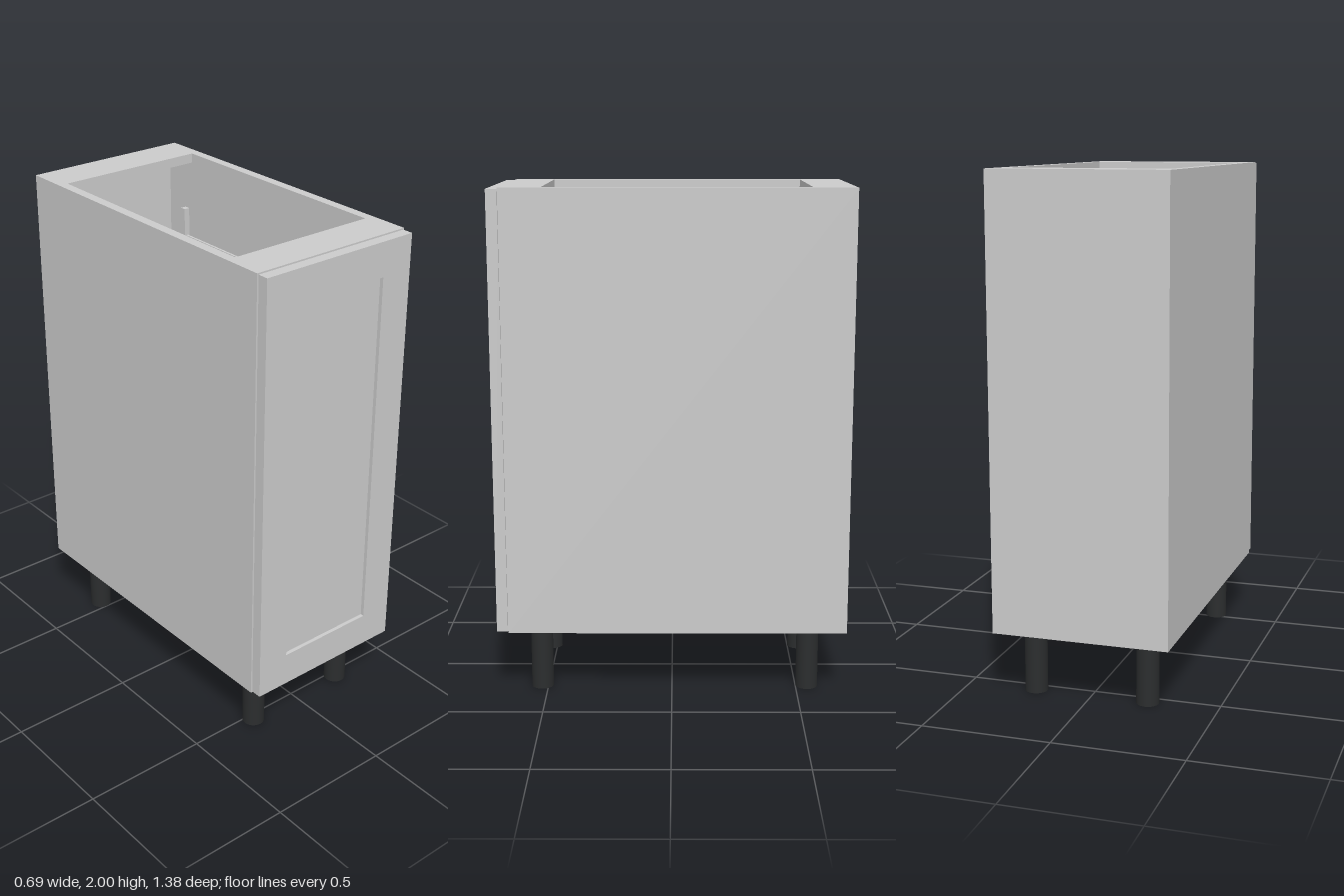
import * as THREE from 'three';

export function createModel() {
  const model = new THREE.Group();
  model.name = 'pullOutCabinet';
  const grey = new THREE.MeshStandardMaterial({ color: 0xcccccc });
  const black = new THREE.MeshStandardMaterial({ color: 0x2b2d2e });
  const tinted = new THREE.MeshStandardMaterial({ color: 0xb4bcc0 });

  // Box given by its minimum and maximum on each axis
  function box(parent, name, [x0, x1], [y0, y1], [z0, z1], material = grey) {
    const mesh = new THREE.Mesh(new THREE.BoxGeometry(x1 - x0, y1 - y0, z1 - z0), material);
    mesh.position.set((x0 + x1) / 2, (y0 + y1) / 2, (z0 + z1) / 2);
    mesh.name = name;
    parent.add(mesh);
  }

  // Carcass
  const base = 0.265, inner = 0.307;
  const carcass = new THREE.Group();
  carcass.name = 'carcass';
  model.add(carcass);
  box(carcass, 'rightSide', [-0.345, -inner], [base, 2], [-0.69, 0.645]);
  box(carcass, 'leftSide', [inner, 0.345], [base, 2], [-0.69, 0.645]);
  box(carcass, 'bottomPanel', [-inner, inner], [base, 0.303], [-0.69, 0.645]);
  box(carcass, 'backPanel', [-inner, inner], [0.303, 1.962], [-0.69, -0.672]);
  box(carcass, 'backStretcher', [-inner, inner], [1.962, 2], [-0.69, -0.525]);
  box(carcass, 'frontStretcher', [-inner, inner], [1.962, 2], [0.487, 0.645]);

  // Door frame with a recessed centre panel
  const door = new THREE.Group();
  door.name = 'door';
  model.add(door);
  const outline = new THREE.Shape([[-0.34, 0.27], [0.34, 0.27], [0.34, 1.995], [-0.34, 1.995]]
    .map(p => new THREE.Vector2(...p)));
  outline.holes.push(new THREE.Path([[-0.207, 0.405], [-0.207, 1.86], [0.207, 1.86], [0.207, 0.405]]
    .map(p => new THREE.Vector2(...p))));
  const frame = new THREE.Mesh(new THREE.ExtrudeGeometry(outline, { depth: 0.043, bevelEnabled: false }), grey);
  frame.position.z = 0.647;
  frame.name = 'doorFrame';
  door.add(frame);
  box(door, 'doorPanel', [-0.207, 0.207], [0.405, 1.86], [0.647, 0.675]);

  // Legs
  for (const x of [-0.225, 0.225]) for (const z of [-0.545, 0.523]) {
    const leg = new THREE.Mesh(new THREE.CylinderGeometry(0.044, 0.044, base, 32), black);
    leg.position.set(x, base / 2, z);
    leg.name = 'leg';
    model.add(leg);
  }

  // Pull-out basket: posts, two trays and their guard rails
  const basket = new THREE.Group();
  basket.name = 'pullOutBasket';
  model.add(basket);
  for (const x of [-0.26, 0.26]) for (const z of [-0.514, 0.63]) {
    box(basket, 'post', [x - 0.012, x + 0.012], [0.36, 1.78], [z - 0.012, z + 0.012]);
  }
  for (const y of [0.45, 1.45]) {
    box(basket, 'tray', [-0.285, 0.285], [y, y + 0.02], [-0.525, 0.64], tinted);
    for (const h of [y + 0.11, y + 0.2]) {
      for (const x of [-0.26, 0.26]) {
        box(basket, 'sideRail', [x - 0.005, x + 0.005], [h, h + 0.015], [-0.502, 0.618]);
      }
      for (const z of [-0.514, 0.63]) {
        box(basket, 'endRail', [-0.248, 0.248], [h, h + 0.015], [z - 0.005, z + 0.005]);
      }
    }
  }
  return model;
}
